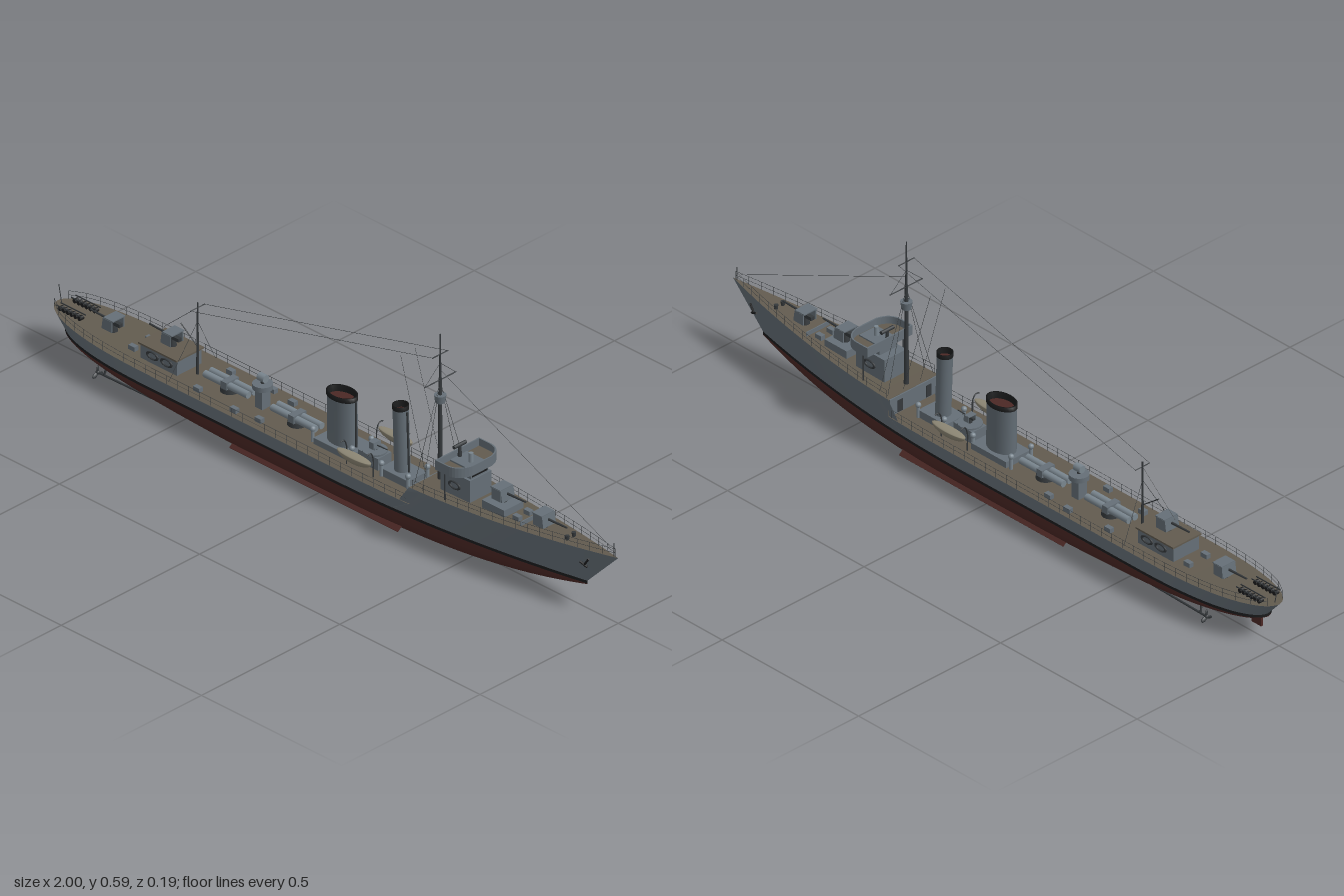
import * as THREE from 'three';

const V = (x, y, z) => new THREE.Vector3(x, y, z);
const mat = (name, color, side = THREE.FrontSide) => {
  const m = new THREE.MeshStandardMaterial({ color, side });
  m.name = name;
  return m;
};

// Hull rules: half-breadths, keel line and deck height along the length
const BEAM = 0.0925, WL = 0.072, BOOT = 0.08;
const part = (x, a, b) => Math.min(1, Math.max(0, (x - a) / (b - a)));
const breadth = (x, bowEnd, bowP, sternStart, sternEnd) =>
  BEAM * Math.max(0, 1 - part(x, 0.1, bowEnd) ** bowP) * Math.sqrt(Math.max(0, 1 - part(x, sternStart, sternEnd) ** 2.6));
const deckHalf = x => breadth(x, 1, 2.26, -0.6, -1);
const waterHalf = x => breadth(x, 0.89, 1.9, -0.55, -0.96);
const waterX = x => x * 0.925 - 0.035;
const keelY = x => 0.07 * (part(x, 0.2, 0.89) ** 2.5 + part(x, -0.2, -0.96) ** 1.8);
const deckY = x => x > 0.34 ? 0.165 + 0.027 * part(x, 0.34, 1) ** 1.6 : 0.115 + 0.01 * part(x, -0.5, -1) ** 2;

const stations = [0.3399, 0.3401];
for (let i = 0; i <= 64; i++) stations.push(Math.sin(Math.PI * (i / 64 - 0.5)));
stations.sort((a, b) => a - b);

// Grid surface from a rule fn(x, v); flip mirrors it across the centreline
function surface(fn, nv, flip = false) {
  const pos = [], idx = [], n = nv + 1;
  for (const x of stations) for (let j = 0; j <= nv; j++) {
    const p = fn(x, j / nv);
    pos.push(p.x, p.y, flip ? -p.z : p.z);
  }
  for (let i = 0; i < stations.length - 1; i++) for (let j = 0; j < nv; j++) {
    const a = i * n + j, b = a + n, c = b + 1, d = a + 1;
    if (flip) idx.push(a, c, b, a, d, c); else idx.push(a, b, c, a, c, d);
  }
  const g = new THREE.BufferGeometry();
  g.setAttribute('position', new THREE.Float32BufferAttribute(pos, 3));
  g.setIndex(idx);
  g.computeVertexNormals();
  return g;
}

export function createModel() {
  const root = new THREE.Group();
  const grey = mat('hull grey', 0x656f77), deckM = mat('deck brown', 0x625b4f), red = mat('underwater red', 0x4c2825);
  const dark = mat('dark fittings', 0x35393c), black = mat('black', 0x1b1c1d), wire = mat('rigging', 0x3c4043);
  const pale = mat('pale boat', 0x8c8674), steel = mat('light steel', 0x7a868f), open = mat('plate grey', 0x626c74, THREE.DoubleSide);

  const add = (name, geo, m, x = 0, y = 0, z = 0, parent = root) => {
    const o = new THREE.Mesh(geo, m);
    o.name = name;
    o.position.set(x, y, z);
    parent.add(o);
    return o;
  };
  // Box and cylinder standing on height y
  const box = (name, m, w, h, d, x, y, z = 0, parent = root) => add(name, new THREE.BoxGeometry(w, h, d), m, x, y + h / 2, z, parent);
  const cyl = (name, m, rt, rb, h, x, y, z = 0, parent = root, n = 20) => add(name, new THREE.CylinderGeometry(rt, rb, h, n), m, x, y + h / 2, z, parent);
  const rod = (name, m, a, b, r, parent = root, n = 6, r2 = r) => {
    const o = add(name, new THREE.CylinderGeometry(r2, r, a.distanceTo(b), n), m, 0, 0, 0, parent);
    o.position.copy(a).lerp(b, 0.5);
    o.quaternion.setFromUnitVectors(V(0, 1, 0), b.clone().sub(a).normalize());
    return o;
  };

  // Hull skins and decks
  const under = (x, v) => {
    const xw = waterX(x), a = v * Math.PI / 2, k = Math.min(WL, keelY(xw));
    return V(xw, k + (WL - k) * (1 - Math.max(0, Math.cos(a)) ** 0.8), waterHalf(xw) * Math.sin(a) ** 0.75);
  };
  const boot = (x, v) => V(waterX(x), WL + (BOOT - WL) * v, waterHalf(waterX(x)));
  const side = (x, v) => V(THREE.MathUtils.lerp(waterX(x), x, v), THREE.MathUtils.lerp(BOOT, deckY(x), v),
    THREE.MathUtils.lerp(waterHalf(waterX(x)), deckHalf(x), v));
  for (const flip of [false, true]) {
    add('underwaterHull', surface(under, 12, flip), red);
    add('waterlineStripe', surface(boot, 1, flip), black);
    add('hullSide', surface(side, 4, flip), grey);
  }
  const deck = surface((x, v) => V(x, deckY(x), deckHalf(x) * (1 - 2 * v)), 2).toNonIndexed();
  deck.computeVertexNormals();
  add('deck', deck, deckM);
  box('forecastleBulkhead', grey, 0.004, 0.049, 0.17, 0.338, 0.115);
  for (const z of [-0.05, 0.05]) box('bulkheadDoor', dark, 0.003, 0.034, 0.018, 0.3355, 0.118, z);

  // Deck-edge railings
  for (const s of [-1, 1]) for (const [x0, x1, n] of [[-0.985, 0.33, 34], [0.35, 0.99, 17]]) {
    const edge = h => Array.from({ length: n + 1 }, (_, i) => {
      const x = x0 + (x1 - x0) * i / n;
      return V(x, deckY(x) + h, s * Math.max(0, deckHalf(x) - 0.002));
    });
    edge(0).forEach(p => rod('railPost', wire, p, p.clone().setY(p.y + 0.024), 0.0008, root, 4));
    for (const h of [0.012, 0.024]) add('railWire', new THREE.TubeGeometry(new THREE.CatmullRomCurve3(edge(h)), n * 2, 0.0006, 4), wire);
  }

  // Funnels: oval aft funnel and slim raked fore funnel, each with black cap and hollow top
  const funnel = (x, y0, h, rx, rz, lean) => {
    const g = new THREE.Group();
    g.name = 'funnel';
    const profile = [[1.1, 0], [1.1, 0.014], [1, 0.016], [1, h - 0.012]].map(p => new THREE.Vector2(...p));
    add('funnelBody', new THREE.LatheGeometry(profile, 28), open, 0, 0, 0, g);
    const cap = [[1, h - 0.012], [1.04, h - 0.012], [1.04, h], [0.9, h], [0.9, h - 0.025]].map(p => new THREE.Vector2(...p));
    add('funnelCap', new THREE.LatheGeometry(cap, 28), black, 0, 0, 0, g);
    cyl('funnelInside', red, 0.92, 0.92, 0.002, 0, h - 0.02, 0, g);
    g.scale.set(rx, 1, rz);
    const tilt = new THREE.Group();
    tilt.name = 'funnelMount';
    tilt.add(g);
    tilt.position.set(x, y0, 0);
    tilt.rotation.z = lean;
    root.add(tilt);
    rod('steamPipe', dark, V(x + rx + 0.003, y0, 0), V(x + rx + 0.003 - lean * h, y0 + h * 0.93, 0), 0.003);
  };
  funnel(0.017, 0.115, 0.16, 0.046, 0.031, 0.01);
  funnel(0.231, 0.115, 0.21, 0.021, 0.021, 0.035);

  // Midship casing, vents and light gun platform
  box('boilerCasing', grey, 0.13, 0.018, 0.085, 0.02, 0.115);
  box('boilerCasing', grey, 0.1, 0.022, 0.07, 0.235, 0.115);
  box('midshipHouse', grey, 0.07, 0.035, 0.05, 0.132, 0.115);
  cyl('midshipPlatform', grey, 0.033, 0.033, 0.005, 0.132, 0.15);
  for (const x of [-0.055, 0.085, 0.19, 0.285]) for (const z of [-0.035, 0.035]) {
    cyl('ventTrunk', steel, 0.005, 0.005, 0.035, x, 0.115, z, root, 10);
    add('ventCowl', new THREE.SphereGeometry(0.008, 10, 8), steel, x, 0.152, z);
  }

  // Guns with a three-sided shield; dir is +1 for forward, -1 for aft
  const gun = (x, y, dir, s = 1) => {
    const g = new THREE.Group();
    g.name = 'gun';
    cyl('gunPedestal', dark, 0.008, 0.012, 0.022, 0, 0, 0, g, 12);
    box('shieldFront', grey, 0.004, 0.032, 0.046, 0.016, 0.009, 0, g).rotation.z = 0.15;
    box('shieldRoof', grey, 0.034, 0.003, 0.046, -0.003, 0.04, 0, g);
    for (const z of [-0.022, 0.022]) box('shieldSide', grey, 0.032, 0.032, 0.003, 0, 0.009, z, g);
    box('breech', dark, 0.03, 0.01, 0.012, -0.012, 0.02, 0, g);
    rod('barrel', dark, V(-0.02, 0.026, 0), V(0.082, 0.029, 0), 0.004, g, 10, 0.0025);
    g.position.set(x, y, 0);
    g.rotation.y = dir > 0 ? 0 : Math.PI;
    g.scale.setScalar(s);
    root.add(g);
  };
  gun(0.735, deckY(0.735), 1);
  box('foreGunHouse', grey, 0.08, 0.026, 0.07, 0.588, 0.166);
  gun(0.588, 0.192, 1);
  gun(0.132, 0.155, 1, 0.55);
  gun(-0.59, 0.163, -1);
  gun(-0.8, deckY(-0.8), -1);

  // Bridge: lower house, wheelhouse, open winged platform with bulwark
  box('bridgeHouse', grey, 0.105, 0.066, 0.078, 0.457, 0.166);
  box('wheelhouse', grey, 0.075, 0.03, 0.062, 0.468, 0.23);
  box('wheelhouseWindows', black, 0.002, 0.009, 0.054, 0.506, 0.237);
  const outline = inset => {
    const w = 0.08 - inset, f = 0.515 - inset, a = 0.425 + inset, p = new THREE.Path();
    p.moveTo(a, -w); p.lineTo(0.465, -w);
    p.quadraticCurveTo(f - 0.01, -w, f, -0.035); p.lineTo(f, 0.035);
    p.quadraticCurveTo(f - 0.01, w, 0.465, w); p.lineTo(a, w);
    p.closePath();
    return p;
  };
  const slab = (name, m, y, h, hole) => {
    const shape = new THREE.Shape(outline(hole ? 0 : 0.002).getPoints(8));
    if (hole) shape.holes.push(outline(0.004));
    const o = add(name, new THREE.ExtrudeGeometry(shape, { depth: h, bevelEnabled: false }), m, 0, y + h, 0);
    o.rotation.x = Math.PI / 2;
  };
  slab('bridgeFloor', deckM, 0.25, 0.006, false);
  slab('bridgeBulwark', grey, 0.249, 0.028, true);
  for (const z of [-0.07, 0.07]) rod('wingSupport', dark, V(0.45, 0.166, z), V(0.45, 0.25, z), 0.002);
  cyl('compass', steel, 0.006, 0.007, 0.03, 0.475, 0.256, 0, root, 12);
  rod('rangefinder', dark, V(0.435, 0.293, -0.022), V(0.435, 0.293, 0.022), 0.005, root, 10);
  cyl('rangefinderStand', dark, 0.004, 0.006, 0.036, 0.435, 0.256, 0, root, 10);

  // Oval life floats on the house sides
  for (const [x, y, z] of [[0.457, 0.2, 0.042], [-0.615, 0.14, 0.047], [-0.565, 0.14, 0.047]]) for (const s of [-1, 1]) {
    add('lifeFloat', new THREE.TorusGeometry(0.012, 0.0028, 8, 20), dark, x, y, s * z).scale.set(1.5, 0.8, 1);
  }

  // Foremast, lookout, yards and mainmast
  rod('foremast', dark, V(0.365, 0.165, 0), V(0.365, 0.46, 0), 0.007, root, 12, 0.0045);
  rod('topmast', dark, V(0.365, 0.45, 0), V(0.365, 0.59, 0), 0.0035, root, 8, 0.0015);
  cyl('lookout', grey, 0.016, 0.013, 0.022, 0.365, 0.39);
  for (const [y, w] of [[0.455, 0.058], [0.53, 0.028]]) rod('yard', dark, V(0.365, y, -w), V(0.365, y, w), 0.0016);
  rod('mainmast', dark, V(-0.5, 0.115, 0), V(-0.5, 0.325, 0), 0.004, root, 8, 0.002);
  rod('mainYard', dark, V(-0.5, 0.31, -0.026), V(-0.5, 0.31, 0.026), 0.0013);
  rod('mainBoom', dark, V(-0.5, 0.195, 0), V(-0.56, 0.24, 0), 0.0016);

  // Rigging wires
  const stay = (...p) => rod('stay', wire, V(...p.slice(0, 3)), V(...p.slice(3)), 0.0006, root, 4);
  stay(0.365, 0.485, 0, 0.97, 0.215, 0);
  stay(-0.5, 0.31, 0, -0.62, 0.205, 0);
  for (const s of [-1, 1]) {
    stay(0.365, 0.53, s * 0.027, -0.5, 0.31, s * 0.025);
    stay(0.365, 0.505, 0, 0.365, 0.455, s * 0.056);
    stay(0.25, 0.49, s * 0.026, 0.345, 0.17, s * 0.03);
    for (const x of [0.35, 0.38]) stay(0.365, 0.45, 0, x, 0.168, s * 0.08);
    stay(-0.5, 0.27, 0, -0.52, 0.118, s * 0.085);
  }

  // Ship's boats slung on davits
  for (const s of [-1, 1]) {
    const hullGeo = new THREE.SphereGeometry(1, 20, 8, 0, Math.PI * 2, Math.PI / 2, Math.PI / 2);
    add('boat', hullGeo, pale, 0.132, 0.165, s * 0.075).scale.set(0.06, 0.022, 0.015);
    add('boatCover', new THREE.SphereGeometry(1, 20, 6, 0, Math.PI * 2, 0, Math.PI / 2), pale, 0.132, 0.165, s * 0.075).scale.set(0.06, 0.004, 0.015);
    for (const x of [0.085, 0.18]) {
      const c = new THREE.CatmullRomCurve3([V(x, 0.115, s * 0.055), V(x, 0.17, s * 0.055), V(x, 0.188, s * 0.064), V(x, 0.187, s * 0.078)]);
      add('davit', new THREE.TubeGeometry(c, 12, 0.0018, 6), dark);
    }
  }

  // Twin torpedo tube mounts
  for (const x of [-0.385, -0.145]) {
    cyl('torpedoTurntable', dark, 0.024, 0.026, 0.012, x, 0.115);
    for (const z of [-0.011, 0.011]) rod('torpedoTube', steel, V(x - 0.078, 0.136, z), V(x + 0.078, 0.136, z), 0.0095, root, 14);
    box('tubeSaddle', grey, 0.02, 0.022, 0.046, x, 0.126);
  }

  // Searchlight tower
  box('searchlightHouse', grey, 0.026, 0.055, 0.03, -0.268, 0.115);
  cyl('searchlightPlatform', grey, 0.027, 0.027, 0.014, -0.268, 0.17);
  cyl('searchlightStand', dark, 0.005, 0.005, 0.014, -0.268, 0.184, 0, root, 10);
  rod('searchlight', steel, V(-0.28, 0.2, 0), V(-0.256, 0.2, 0), 0.011, root, 14);

  // Aft house and deck lockers
  box('aftHouse', grey, 0.13, 0.043, 0.09, -0.595, 0.115);
  box('aftHouseRoof', deckM, 0.138, 0.005, 0.1, -0.595, 0.158);
  for (const [x, z] of [[-0.44, 0.06], [-0.22, 0.06], [-0.7, 0.03], [0.66, 0.02], [-0.3, 0.07]]) for (const s of [-1, 1])
    box('deckLocker', grey, 0.022, 0.014, 0.014, x, deckY(x) - 0.001, s * z);

  // Depth-charge racks at the stern
  for (const s of [-1, 1]) {
    for (const dz of [-0.008, 0.008]) box('chargeRail', dark, 0.09, 0.003, 0.002, -0.925, 0.137, s * 0.027 + dz);
    for (let i = 0; i < 6; i++) {
      const x = -0.96 + i * 0.014;
      rod('depthCharge', black, V(x, 0.13, s * 0.027 - 0.007), V(x, 0.13, s * 0.027 + 0.007), 0.006, root, 10);
    }
  }

  // Bow gear: anchors, capstans, staffs
  for (const s of [-1, 1]) {
    const z = s * 0.021;
    rod('anchorShank', black, V(0.915, 0.163, z), V(0.9, 0.14, z * 1.05), 0.003);
    rod('anchorFlukes', black, V(0.888, 0.147, z * 1.2), V(0.91, 0.137, z), 0.003);
    cyl('capstan', dark, 0.006, 0.005, 0.012, 0.83, deckY(0.83), s * 0.012, root, 10);
  }
  box('breakwater', grey, 0.003, 0.012, 0.08, 0.69, deckY(0.69));
  rod('jackstaff', wire, V(0.985, 0.19, 0), V(0.985, 0.23, 0), 0.0012);
  rod('ensignStaff', wire, V(-0.985, 0.124, 0), V(-0.995, 0.175, 0), 0.0012);

  // Rudder, shafts, propellers and bilge keels
  box('rudder', red, 0.035, 0.032, 0.006, -0.92, 0.031);
  cyl('rudderStock', dark, 0.004, 0.004, 0.025, -0.915, 0.055, 0, root, 8);
  for (const s of [-1, 1]) {
    rod('propellerShaft', dark, V(-0.4, 0.018, s * 0.045), V(-0.8, 0.022, s * 0.06), 0.003, root, 8);
    rod('shaftStrut', dark, V(-0.775, 0.022, s * 0.06), V(-0.77, 0.055, s * 0.05), 0.003);
    add('propellerHub', new THREE.SphereGeometry(0.006, 10, 8), dark, -0.797, 0.022, s * 0.06);
    for (let i = 0; i < 3; i++) {
      const b = add('propellerBlade', new THREE.SphereGeometry(1, 10, 6), dark, -0.797, 0.022, s * 0.06);
      b.scale.set(0.003, 0.01, 0.006);
      b.rotation.set(i * Math.PI * 2 / 3, 0, 0);
      b.translateY(0.011);
      b.rotateY(0.5);
    }
    box('bilgeKeel', red, 0.6, 0.003, 0.018, 0, 0.021, s * 0.081).rotation.x = s * 0.7;
  }
  return root;
}
